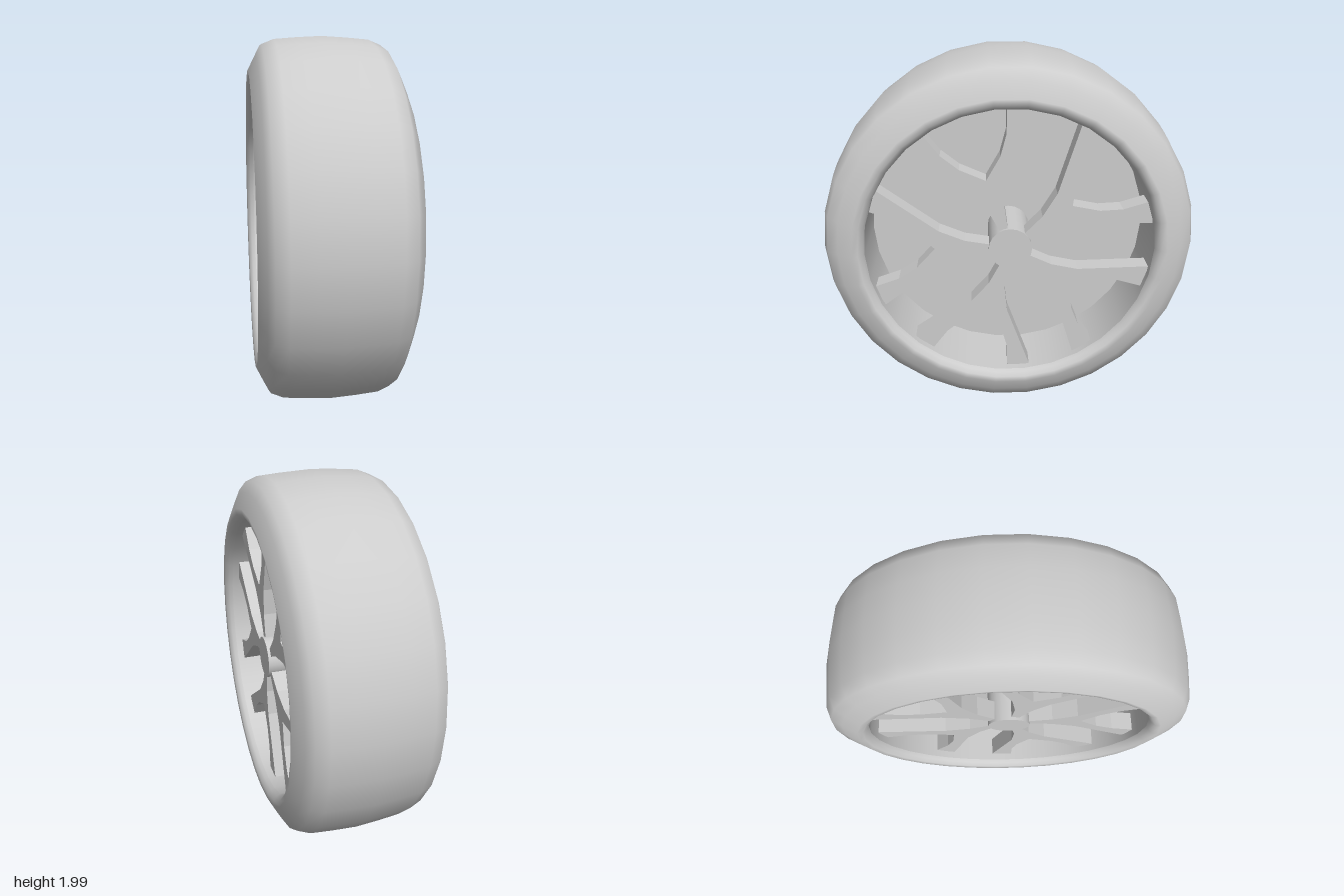
import * as THREE from 'three';

const SEGMENTS = 30;

export function createModel() {
  const model = new THREE.Group();
  model.name = 'wheel';
  const grey = new THREE.MeshStandardMaterial({ color: 0xcccccc });
  grey.name = 'light grey';

  const add = (name, geometry, parent = model) => {
    const mesh = new THREE.Mesh(geometry, grey);
    mesh.name = name;
    parent.add(mesh);
    return mesh;
  };

  // Revolve a profile of [x, radius] points around the axle (x axis)
  const revolve = (points) => new THREE.LatheGeometry(
    points.map(([x, r]) => new THREE.Vector2(r, x)), SEGMENTS).rotateZ(-Math.PI / 2);

  // Tyre: half profile from tread centre to bead, mirrored across the middle
  const half = [[0, 1], [0.13, 0.993], [0.25, 0.983], [0.315, 0.957], [0.345, 0.9],
    [0.385, 0.82], [0.38, 0.79], [0.36, 0.77], [0.34, 0.762]];
  const mirrored = half.slice(1).reverse().map(([x, r]) => [-x, r]);
  add('tyre', revolve([...mirrored, ...half])).position.y = 1;

  // Inward-facing rim barrel
  add('rimBarrel', revolve([[0.34, 0.762], [0, 0.762], [-0.34, 0.762]])).position.y = 1;

  // Central disc closing the barrel
  const disc = new THREE.CylinderGeometry(0.762, 0.762, 0.01, SEGMENTS);
  add('centreDisc', disc.rotateZ(Math.PI / 2)).position.y = 1;

  // Hub running through to both faces
  const hub = new THREE.CylinderGeometry(0.115, 0.115, 0.63, 20);
  add('hub', hub.rotateZ(Math.PI / 2)).position.y = 1;

  // Forked spoke outline: outer edge, rim end, then the notch between the arms
  const edge = [[0.09, 0.018], [0.24, 0.045], [0.375, 0.103], [0.683, 0.336],
    [0.711, 0.279], [0.73, 0.22], [0.6, 0.175], [0.5, 0.11]];
  const outline = [
    ...edge.map(([x, y]) => [x, -y]),
    [0.4, 0],
    ...edge.slice().reverse(),
  ].map(([x, y]) => new THREE.Vector2(x, y));
  const spokeShape = new THREE.Shape(outline);

  // Five spokes on each face
  for (const side of [1, -1]) {
    const spokes = new THREE.Group();
    spokes.name = side > 0 ? 'leftSpokes' : 'rightSpokes';
    spokes.position.set(side * 0.25, 1, 0);
    for (let i = 0; i < 5; i++) {
      const spoke = new THREE.ExtrudeGeometry(spokeShape, { depth: 0.1, bevelEnabled: false });
      spoke.translate(0, 0, -0.05).rotateZ(Math.PI + i * Math.PI * 0.4).rotateY(Math.PI / 2);
      add('spoke', spoke, spokes);
    }
    model.add(spokes);
  }
  return model;
}
